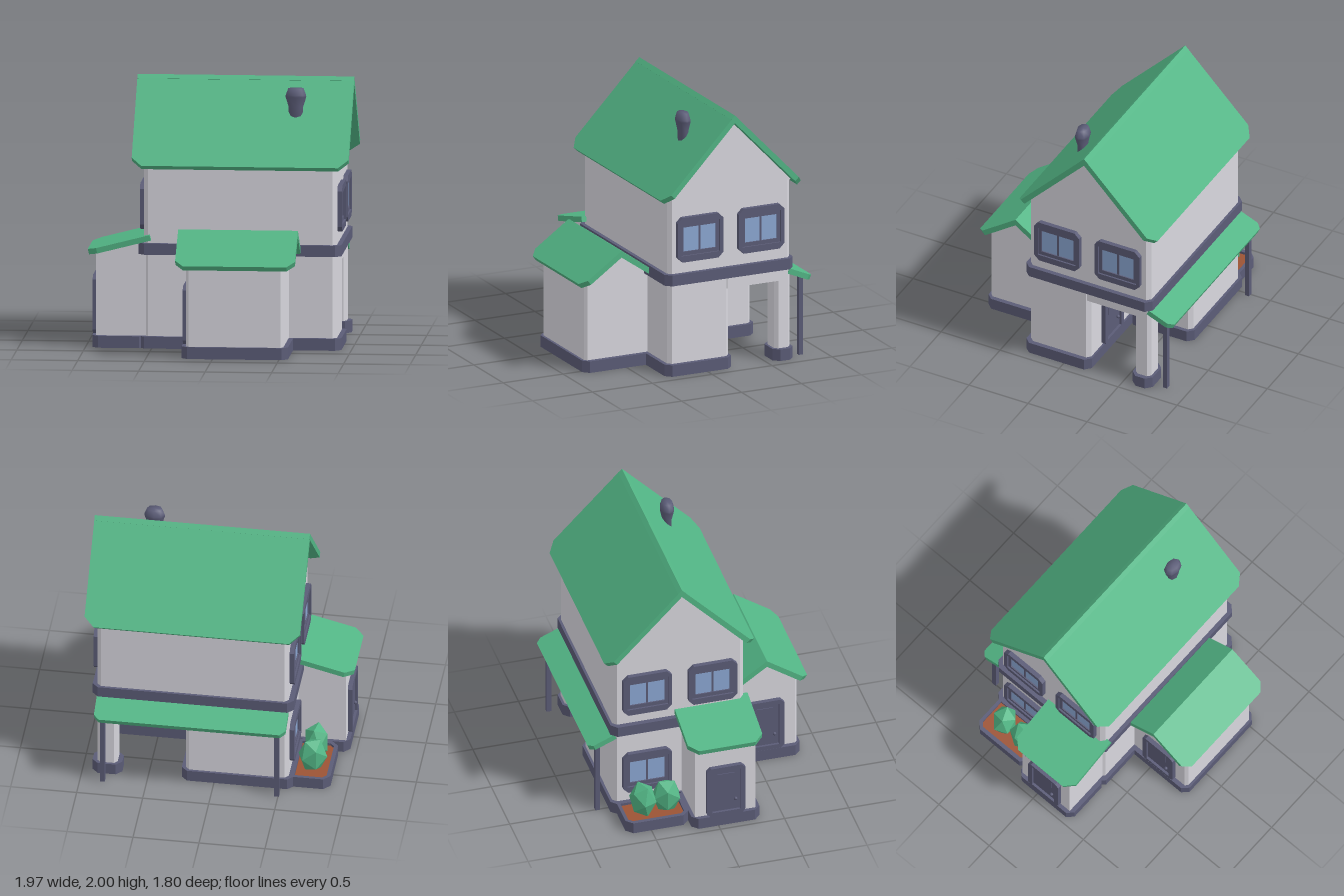
import * as THREE from 'three';

const paint = (name, color) => {
  const m = new THREE.MeshStandardMaterial({ color });
  m.name = name;
  return m;
};

export function createModel() {
  const house = new THREE.Group();
  house.name = 'house';
  const wall = paint('wall', 0xd8d7de);
  const slate = paint('slate', 0x5b5c77);
  const green = paint('green', 0x52b585);
  const glass = paint('glass', 0x8ba7d2);
  const soil = paint('soil', 0x9c5335);

  const add = (name, geometry, material, parent = house) => {
    const mesh = new THREE.Mesh(geometry, material);
    mesh.name = name;
    parent.add(mesh);
    return mesh;
  };
  const extrude = (shape, depth) => new THREE.ExtrudeGeometry(shape, { depth, bevelEnabled: false });
  const polygon = (pts) => new THREE.Shape(pts.map(([x, y]) => new THREE.Vector2(x, y)));

  // rectangle with cut corners; the first pair (low y) may differ from the second
  const cutRect = (x0, x1, y0, y1, low, high = low) => polygon([
    [x0 + low, y0], [x1 - low, y0], [x1, y0 + low], [x1, y1 - high],
    [x1 - high, y1], [x0 + high, y1], [x0, y1 - high], [x0, y0 + low],
  ]);
  // upright block with cut vertical corners
  const block = (x0, x1, z0, z1, y0, y1, cut = 0.03) =>
    extrude(cutRect(x0, x1, -z1, -z0, cut), y1 - y0).rotateX(-Math.PI / 2).translate(0, y0, 0);
  // triangular wall under a ridge that runs along x
  const gable = (x0, x1, z0, z1, y0, peak) =>
    extrude(polygon([[-z1, y0], [-z0, y0], [-(z0 + z1) / 2, peak]]), x1 - x0)
      .rotateY(Math.PI / 2).translate(x0, 0, 0);
  // sloping roof slab from the middle of its top edge to the middle of its eave
  const slope = (name, top, eave, width, cut, t = 0.042) => {
    const a = new THREE.Vector3(...top);
    const v = new THREE.Vector3(...eave).sub(a);
    const length = v.length();
    v.normalize();
    const u = new THREE.Vector3(v.z, 0, -v.x).normalize();
    const down = new THREE.Vector3().crossVectors(u, v);
    const g = extrude(cutRect(-width / 2, width / 2, 0, length, 0, cut), t);
    g.applyMatrix4(new THREE.Matrix4().makeBasis(u, v, down).setPosition(a));
    add(name, g, green);
  };

  // foundations
  const footings = [
    [-0.6, 0.925, -0.215, 0.34], [-0.6, 0.25, -0.73, -0.19], [-0.235, 0.565, 0.28, 0.85],
    [-0.95, -0.55, -0.2, 0.33], [0.7, 0.925, -0.73, -0.56],
  ];
  footings.forEach(([x0, x1, z0, z1]) => add('foundation', block(x0, x1, z0, z1, 0, 0.09, 0.045), slate));

  // ground floor with an open corner at the back
  add('frontRoomWalls', block(-0.56, 0.89, -0.2, 0.31, 0.08, 0.72), wall);
  add('backRoomWalls', block(-0.56, 0.22, -0.71, -0.15, 0.08, 0.72), wall);
  add('cornerPillar', block(0.735, 0.89, -0.71, -0.58, 0.08, 0.72, 0.025), wall);
  add('cornerCeiling', block(0.15, 0.89, -0.71, -0.15, 0.62, 0.72), wall);
  add('bayWalls', block(-0.2, 0.53, 0.25, 0.83, 0.08, 0.71, 0.02), wall);
  add('bayGable', gable(-0.2, 0.53, 0.31, 0.83, 0.705, 0.9), wall);
  add('entranceWalls', extrude(polygon([[-0.92, 0.08], [-0.5, 0.08], [-0.5, 0.83], [-0.92, 0.73]]), 0.47)
    .translate(0, 0, -0.175), wall);

  // upper floor
  add('floorBand', block(-0.6, 0.925, -0.73, 0.34, 0.71, 0.795, 0.045), slate);
  add('upperWalls', block(-0.56, 0.89, -0.71, 0.31, 0.79, 1.41), wall);
  add('mainGable', gable(-0.56, 0.89, -0.71, 0.31, 1.405, 1.945), wall);

  // roofs
  for (const s of [-1, 1]) slope('mainRoof', [0.165, 2, -0.2], [0.165, 1.39, -0.2 + s * 0.585], 1.63, 0.075);
  slope('bayRoofFront', [0.17, 0.94, 0.57], [0.17, 0.71, 0.9], 0.9, 0.06);
  slope('bayRoofBack', [0.17, 0.94, 0.57], [0.17, 0.745, 0.29], 0.9, 0);
  slope('entranceRoof', [-0.515, 0.86, 0.06], [-0.985, 0.74, 0.06], 0.58, 0.07);
  slope('porchRoof', [0.165, 0.705, -0.7], [0.165, 0.62, -0.9], 1.45, 0.04);
  for (const x of [-0.49, 0.83]) {
    add('porchPost', new THREE.BoxGeometry(0.036, 0.63, 0.036), slate).position.set(x, 0.315, -0.816);
  }

  // chimney, squashed front to back
  const flue = [[0, 1.6], [0.05, 1.6], [0.055, 1.8], [0.078, 1.875], [0.076, 1.89], [0.058, 1.94], [0, 1.94]];
  const flueGeometry = new THREE.LatheGeometry(flue.map(([r, y]) => new THREE.Vector2(r, y)), 8);
  const chimney = add('chimney', flueGeometry, slate);
  chimney.scale.z = 0.7;
  chimney.position.set(0.56, 0, 0.03);

  // windows, built facing +z and turned into place
  const place = (name, x, y, z, turn) => {
    const g = new THREE.Group();
    g.name = name;
    g.position.set(x, y, z);
    g.rotation.y = turn;
    house.add(g);
    return g;
  };
  const ring = (w, h, cut, iw, ih, depth) => {
    const s = cutRect(-w / 2, w / 2, -h / 2, h / 2, cut);
    s.holes.push(cutRect(-iw / 2, iw / 2, -ih / 2, ih / 2, 0.001));
    return extrude(s, depth);
  };
  const addWindow = (x, y, z, turn) => {
    const g = place('window', x, y, z, turn);
    add('windowFrame', ring(0.38, 0.35, 0.04, 0.32, 0.25, 0.035), slate, g);
    add('windowSash', ring(0.325, 0.255, 0.002, 0.27, 0.19, 0.022), slate, g);
    for (const s of [-1, 1]) {
      add('windowPane', new THREE.BoxGeometry(0.13, 0.2, 0.008), glass, g).position.set(s * 0.072, 0, 0.008);
    }
    add('windowMullion', new THREE.BoxGeometry(0.016, 0.2, 0.016), slate, g).position.z = 0.008;
  };
  for (const z of [0.06, -0.45]) {
    addWindow(0.89, 1.06, z, Math.PI / 2);
    addWindow(-0.56, 1.06, z, -Math.PI / 2);
  }
  addWindow(-0.56, 0.35, -0.45, -Math.PI / 2);

  // doors
  const addDoor = (x, z, turn) => {
    const g = place('door', x, 0.31, z, turn);
    add('doorFrame', ring(0.3, 0.44, 0.03, 0.22, 0.37, 0.034), slate, g);
    add('doorPanel', new THREE.BoxGeometry(0.23, 0.38, 0.02), slate, g).position.z = 0.005;
    add('doorInset', new THREE.BoxGeometry(0.13, 0.14, 0.01), slate, g).position.set(0, 0.08, 0.016);
    add('doorKnob', new THREE.SphereGeometry(0.014, 8, 6), slate, g).position.set(0.075, -0.09, 0.024);
  };
  addDoor(-0.92, 0.06, -Math.PI / 2);
  addDoor(-0.2, 0.57, -Math.PI / 2);
  addDoor(0.55, -0.2, Math.PI);

  // planter with two shrubs
  const rim = cutRect(-0.87, -0.54, 0.2, 0.69, 0.05);
  rim.holes.push(cutRect(-0.84, -0.56, 0.23, 0.665, 0.03));
  add('planterRim', extrude(rim, 0.09).rotateX(-Math.PI / 2), slate);
  add('planterSoil', block(-0.85, -0.55, -0.675, -0.22, 0.005, 0.07), soil);
  [-0.525, -0.34].forEach((z, i) => {
    const shrub = add('shrub', new THREE.IcosahedronGeometry(1, 0), green);
    shrub.scale.set(0.115, 0.15, 0.1);
    shrub.rotation.y = 0.4 + i;
    shrub.position.set(-0.72, 0.19, z);
  });

  return house;
}
